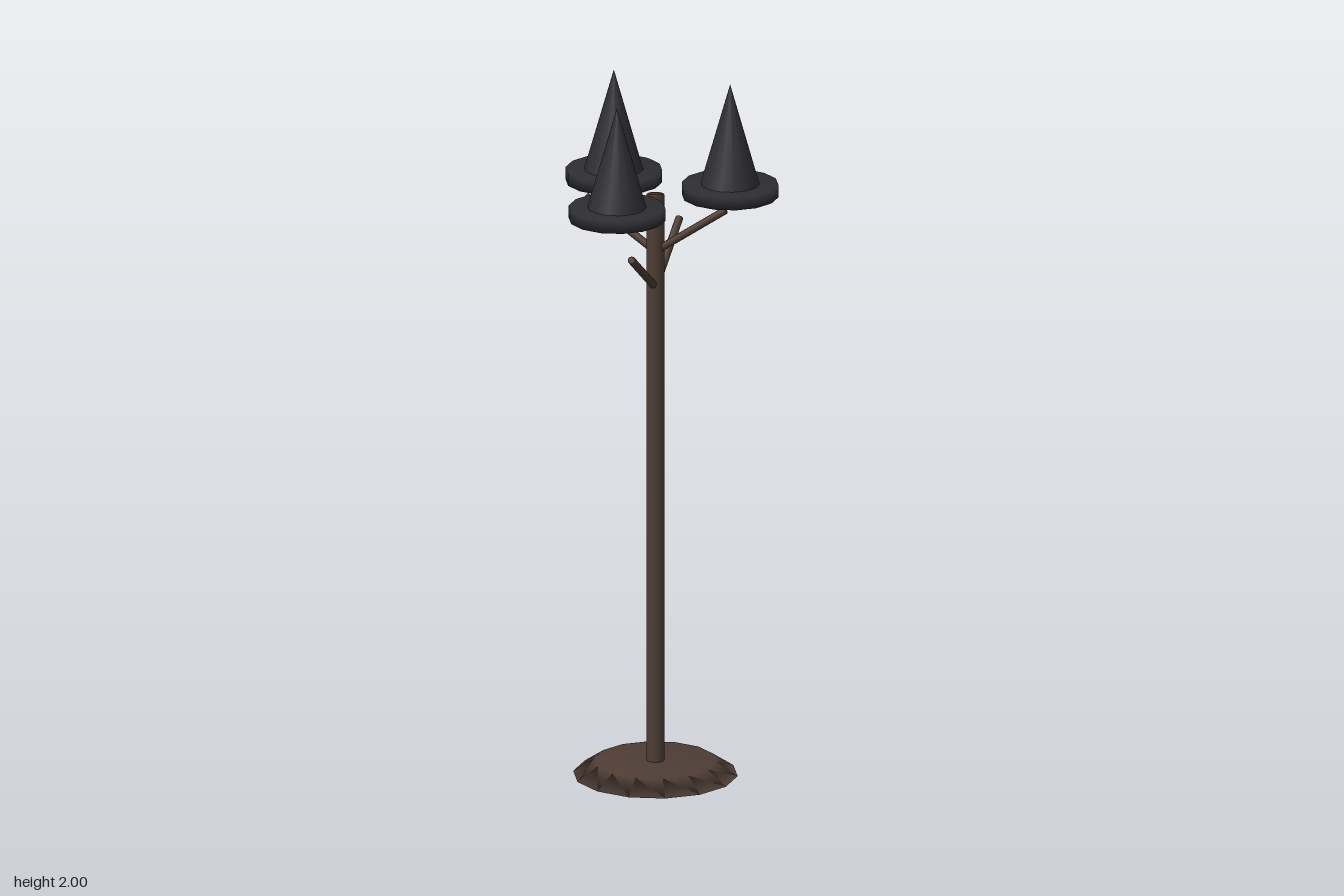
import * as THREE from 'three';

const wood = new THREE.MeshStandardMaterial({ color: 0x4e3d35 });
const felt = new THREE.MeshStandardMaterial({ color: 0x2e2e31 });

// Revolve a bottom-to-top [radius, height] profile
function turned(name, profile, sides, material) {
  const points = profile.map(([r, y]) => new THREE.Vector2(r, y));
  const mesh = new THREE.Mesh(new THREE.LatheGeometry(points, sides), material);
  mesh.name = name;
  return mesh;
}

export function createModel() {
  const model = new THREE.Group();
  model.name = 'hatStand';

  // Stand: bevelled foot, pole and four pegs around a slightly offset axis
  const stand = new THREE.Group();
  stand.name = 'stand';
  stand.position.set(-0.01, 0, -0.04);
  model.add(stand);
  stand.add(turned('base', [[0, 0], [0.23, 0], [0.17, 0.04], [0, 0.04]], 14, wood));
  stand.add(turned('pole', [[0, 0.03], [0.025, 0.03], [0.025, 1.69], [0, 1.69]], 14, wood));

  // Pegs: the side pair sits higher than the front and back pair
  const up = new THREE.Vector3(0, 1, 0);
  const pegs = [['leftPeg', 1, 0, 1.525], ['rightPeg', -1, 0, 1.525], ['frontPeg', 0, 1, 1.42], ['backPeg', 0, -1, 1.42]];
  for (const [name, dx, dz, y] of pegs) {
    const run = new THREE.Vector3(dx * 0.205, 0.14, dz * 0.205);
    const length = run.length();
    const peg = turned(name, [[0, 0], [0.011, 0], [0.011, length], [0, length]], 10, wood);
    peg.position.y = y;
    peg.quaternion.setFromUnitVectors(up, run.normalize());
    stand.add(peg);
  }

  // Three pointed hats with thick brims
  const hats = [['rightHat', -0.175, -0.165], ['leftHat', 0.175, -0.141], ['frontHat', -0.053, 0.164]];
  for (const [name, x, z] of hats) {
    const hat = new THREE.Group();
    hat.name = name;
    hat.position.set(x, 1.675, z);
    hat.add(turned('brim', [[0, 0], [0.135, 0], [0.135, 0.036], [0, 0.036]], 14, felt));
    hat.add(turned('cone', [[0.083, 0.034], [0, 0.325]], 14, felt));
    model.add(hat);
  }
  return model;
}
